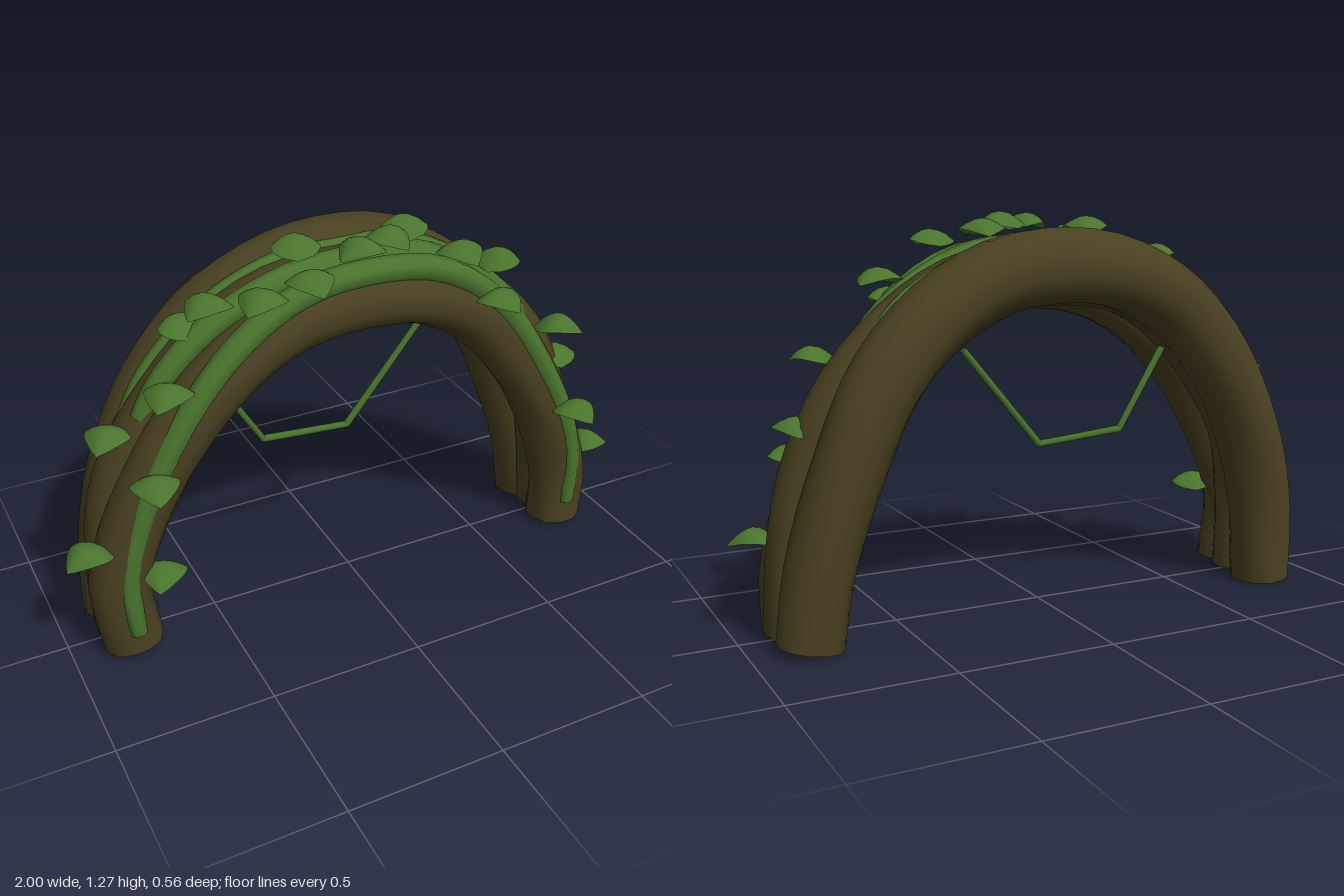
import * as THREE from 'three';

const bark = new THREE.MeshStandardMaterial({ color: 0x4a4121 });
bark.name = 'bark';
const leafGreen = new THREE.MeshStandardMaterial({ color: 0x4a752d, side: THREE.DoubleSide });
leafGreen.name = 'leafGreen';

function makeGeometry(positions, index) {
  const g = new THREE.BufferGeometry();
  g.setAttribute('position', new THREE.Float32BufferAttribute(positions, 3));
  g.setIndex(index);
  g.computeVertexNormals();
  return g;
}

// Sweeps a ring along an arch; radius(t, angle) shapes it, ends are capped
function archTube(points, radius, sides, steps) {
  const curve = new THREE.CatmullRomCurve3(points.map(p => new THREE.Vector3(...p)));
  const pos = [], idx = [];
  const ring = (i) => {
    const t = i / steps, c = curve.getPointAt(t), d = curve.getTangentAt(t);
    const n = new THREE.Vector3(-d.y, d.x, 0).normalize();
    for (let j = 0; j < sides; j++) {
      const a = (j + 0.5) / sides * Math.PI * 2, r = radius(t, a);
      pos.push(c.x + n.x * Math.cos(a) * r, c.y + n.y * Math.cos(a) * r, c.z + Math.sin(a) * r);
    }
    return c;
  };
  for (let i = 0; i <= steps; i++) ring(i);
  for (let i = 0; i < steps; i++) {
    for (let j = 0; j < sides; j++) {
      const k = (j + 1) % sides, a = i * sides, b = a + sides;
      idx.push(a + j, a + k, b + j, a + k, b + k, b + j);
    }
  }
  for (const end of [0, steps]) {
    const first = pos.length / 3, c = ring(end), mid = first + sides;
    pos.push(c.x, c.y, c.z);
    for (let j = 0; j < sides; j++) {
      const k = (j + 1) % sides;
      if (end) idx.push(mid, first + j, first + k);
      else idx.push(mid, first + k, first + j);
    }
  }
  return makeGeometry(pos, idx);
}

// Arched leaf, rounded at the stem and pointed at the tip (+z)
function leafGeometry() {
  const pos = [], idx = [], rows = 10, cols = 6;
  for (let i = 0; i <= rows; i++) {
    const s = i / rows, half = 0.075 * Math.pow(Math.sin(Math.PI * Math.pow(s, 0.75)), 0.85);
    const ridge = 0.055 * Math.sin(Math.PI * s);
    for (let j = 0; j <= cols; j++) {
      const v = j / cols * 2 - 1;
      pos.push(v * half || 0, ridge * (1 - 0.6 * v * v), (s - 0.5) * 0.165);
    }
  }
  for (let i = 0; i < rows; i++) {
    for (let j = 0; j < cols; j++) {
      const a = i * (cols + 1) + j, b = a + cols + 1;
      idx.push(a, b, a + 1, a + 1, b, b + 1);
    }
  }
  return makeGeometry(pos, idx);
}

export function createModel() {
  const model = new THREE.Group();
  const add = (name, geometry, material) => {
    const m = new THREE.Mesh(geometry, material);
    m.name = name;
    model.add(m);
    return m;
  };

  // Three trunks bent side by side into an arch
  const atDepth = (path, zLeg, zTop) => path.map(([x, y]) => [x, y, zLeg + (zTop - zLeg) * Math.max(0, y - 0.3) / 0.8]);
  const lump = (r, swell, phase) => (t, a) =>
    r + swell * Math.sin(Math.PI * t) + 0.005 * Math.sin(3 * a + 9 * t + phase) * Math.cos(17 * t + phase);
  const frontPath = [[-0.805, 0.025], [-0.825, 0.25], [-0.735, 0.52], [-0.575, 0.77], [-0.385, 0.945], [-0.2, 1.035], [0, 1.06],
    [0.2, 1.035], [0.4, 0.93], [0.6, 0.7], [0.75, 0.42], [0.812, 0.2], [0.81, 0.02]];
  const middlePath = [[-0.8, 0.02], [-0.81, 0.25], [-0.765, 0.53], [-0.61, 0.79], [-0.41, 0.98], [-0.2, 1.065], [0, 1.08],
    [0.2, 1.065], [0.41, 0.97], [0.63, 0.77], [0.765, 0.5], [0.82, 0.24], [0.835, 0.03]];
  const backPath = [[-0.8, 0.01], [-0.79, 0.25], [-0.735, 0.51], [-0.6, 0.78], [-0.41, 0.985], [-0.2, 1.085], [0, 1.11],
    [0.2, 1.085], [0.4, 0.975], [0.58, 0.78], [0.7, 0.52], [0.785, 0.25], [0.825, 0.02]];
  add('frontTrunk', archTube(atDepth(frontPath, 0.065, 0.08), lump(0.097, 0.006, 0), 12, 40), bark);
  add('middleTrunk', archTube(atDepth(middlePath, -0.03, -0.03), lump(0.098, 0.004, 2), 12, 40), bark);
  add('backTrunk', archTube(atDepth(backPath, -0.15, -0.16), lump(0.102, 0.016, 4), 12, 40), bark);

  // Moss vines half sunk into the trunks
  const taper = (r) => (t) => r * (0.6 + 0.4 * Math.pow(Math.sin(Math.PI * Math.min(0.999, Math.max(0.001, t))), 0.3));
  const frontVine = [[-0.805, 0.1, 0.142], [-0.815, 0.3, 0.137], [-0.745, 0.54, 0.137], [-0.61, 0.79, 0.138],
    [-0.43, 1.0, 0.134], [-0.22, 1.125, 0.128], [0, 1.155, 0.125], [0.25, 1.12, 0.128], [0.46, 0.975, 0.134],
    [0.64, 0.72, 0.138], [0.765, 0.47, 0.137], [0.815, 0.28, 0.137], [0.81, 0.11, 0.142]];
  const middleVine = [[-0.7, 0.78, 0.015], [-0.62, 0.9, 0.02], [-0.46, 1.04, 0.025], [-0.22, 1.14, 0.028], [0, 1.16, 0.028],
    [0.22, 1.14, 0.028], [0.47, 1.005, 0.025], [0.62, 0.84, 0.02], [0.7, 0.7, 0.015]];
  const backVine = [[-0.74, 0.69, -0.08], [-0.65, 0.86, -0.08], [-0.465, 1.035, -0.08], [-0.22, 1.145, -0.08],
    [0, 1.16, -0.08], [0.22, 1.145, -0.08], [0.465, 1.025, -0.08], [0.58, 0.91, -0.08]];
  add('frontVine', archTube(frontVine, taper(0.043), 8, 40), leafGreen);
  add('middleVine', archTube(middleVine, taper(0.045), 8, 30), leafGreen);
  add('backVine', archTube(backVine, taper(0.034), 8, 30), leafGreen);

  // Thin vine hanging under the arch
  const hanging = [[-0.44, 0.82], [-0.28, 0.56], [0.02, 0.535], [0.28, 0.85]].map(p => new THREE.Vector3(p[0], p[1], -0.05));
  for (let i = 0; i < 3; i++) {
    const d = hanging[i + 1].clone().sub(hanging[i]);
    const stem = add('hangingVine', new THREE.CylinderGeometry(0.0115, 0.0125, d.length() + 0.008, 6), leafGreen);
    stem.position.copy(hanging[i]).addScaledVector(d, 0.5);
    stem.quaternion.setFromUnitVectors(new THREE.Vector3(0, 1, 0), d.normalize());
  }

  // Leaves: x, y, z, heading in degrees (0 points to the front)
  const leaves = [
    [-0.925, 0.395, 0.11, -65], [-0.71, 0.28, 0.145, -25], [-0.8, 0.715, 0.0, -40], [-0.72, 0.625, 0.19, -10],
    [-0.65, 0.895, 0.15, -40], [-0.49, 1.11, 0.07, -60], [-0.54, 1.015, -0.03, 190], [-0.36, 1.14, 0.17, -50],
    [-0.17, 1.205, -0.015, 165], [-0.21, 1.175, 0.19, 0], [-0.02, 1.215, 0.12, -70], [0.09, 1.22, 0.09, 20],
    [0.2, 1.2, -0.02, 170], [0.3, 1.165, 0.17, 5], [0.44, 0.985, 0.19, 15], [0.52, 1.055, 0.05, 120],
    [0.71, 0.815, 0.14, 45], [0.8, 0.625, 0.0, 170], [0.77, 0.505, 0.2, 10], [0.92, 0.28, 0.085, 75],
  ];
  const leafShape = leafGeometry();
  for (const [x, y, z, heading] of leaves) {
    const leaf = add('leaf', leafShape, leafGreen);
    leaf.position.set(x, y, z);
    leaf.rotation.y = heading * Math.PI / 180;
  }
  return model;
}
